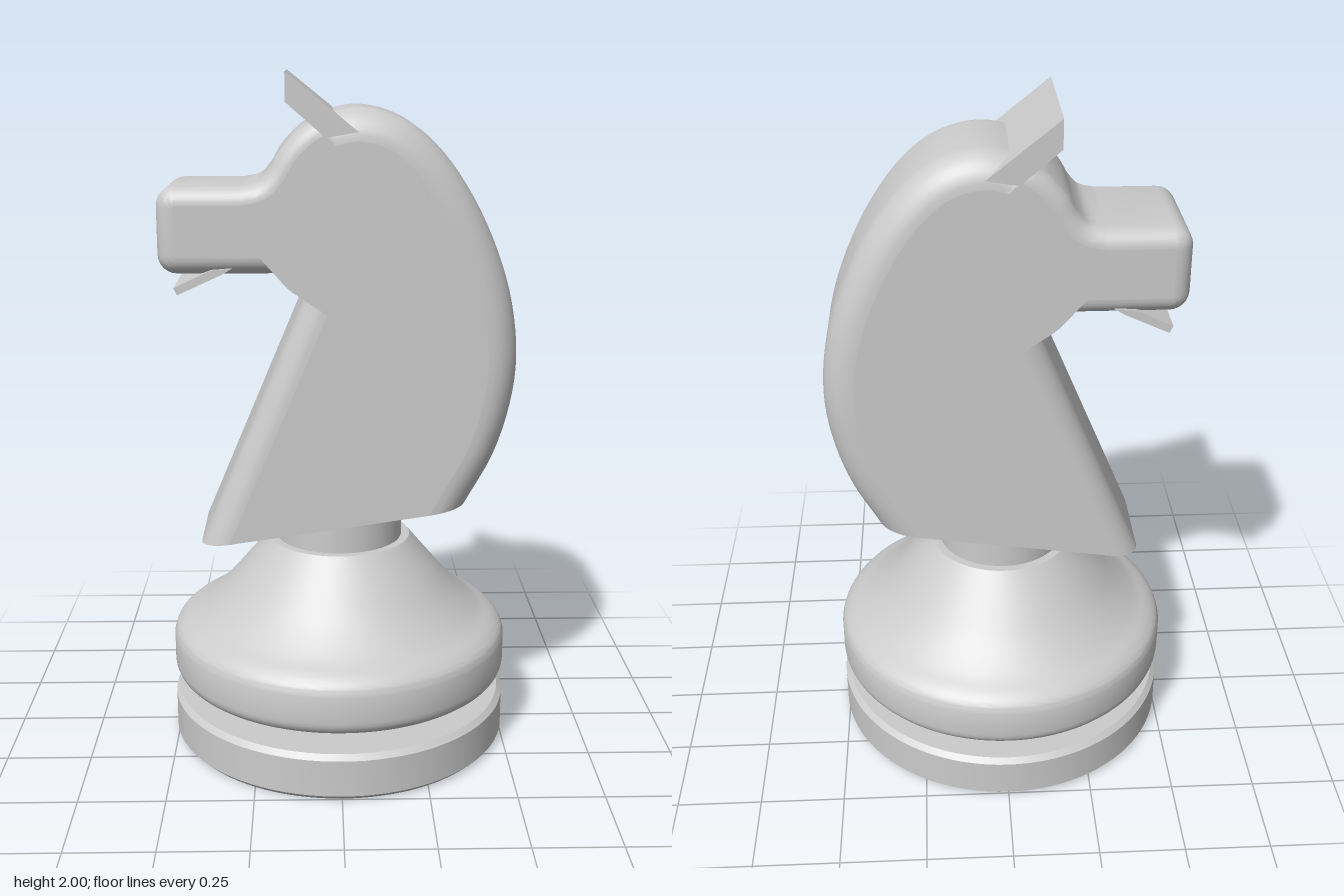
import * as THREE from 'three';
import { toCreasedNormals, mergeGeometries } from 'three/addons/utils/BufferGeometryUtils.js';

const HALF = 0.2; // half thickness of the head
const grey = new THREE.MeshStandardMaterial({ color: 0xcccccc });

function addMesh(group, name, geometry) {
  const mesh = new THREE.Mesh(geometry, grey);
  mesh.name = name;
  group.add(mesh);
  return mesh;
}

// Smooth run of points through a few controls
function spline(points, count) {
  const curve = new THREE.CatmullRomCurve3(points.map(([x, y]) => new THREE.Vector3(x, y, 0)));
  return curve.getPoints(count).map(p => [p.x, p.y]);
}

// Rounded corner as a short arc
function arc(cx, cy, r, from, to, n = 6) {
  return Array.from({ length: n + 1 }, (_, i) => {
    const a = THREE.MathUtils.degToRad(from + (to - from) * i / n);
    return [cx + r * Math.cos(a), cy + r * Math.sin(a)];
  });
}

// Thick slab from a counterclockwise outline; every outline edge has its own fillet radius
function filletedSlab(outline, steps = 8) {
  const n = outline.length;
  const normals = outline.map(({ p }, i) => {
    const q = outline[(i + 1) % n].p;
    return new THREE.Vector2(p[1] - q[1], q[0] - p[0]).normalize();
  });
  const ringAt = (angle, side) => outline.map(({ p, r }, i) => {
    const k = (i + n - 1) % n, a = normals[k], b = normals[i];
    const f = 1 - Math.cos(angle);
    const da = outline[k].r * f, db = r * f;
    const det = a.x * b.y - a.y * b.x;
    let dx, dy;
    if (Math.abs(det) > 0.3) {
      dx = (da * b.y - db * a.y) / det;
      dy = (a.x * db - b.x * da) / det;
    } else {
      const m = a.clone().add(b).normalize().multiplyScalar((da + db) / 2);
      dx = m.x;
      dy = m.y;
    }
    const z = HALF - Math.max(outline[k].r, r) * (1 - Math.sin(angle));
    return [p[0] + dx, p[1] + dy, side * z];
  });
  const rings = [];
  for (let i = steps; i >= 0; i--) rings.push(ringAt(i / steps * Math.PI / 2, -1));
  for (let i = 0; i <= steps; i++) rings.push(ringAt(i / steps * Math.PI / 2, 1));

  const build = (positions, index) => {
    const g = new THREE.BufferGeometry();
    g.setAttribute('position', new THREE.Float32BufferAttribute(positions, 3));
    g.setIndex(index);
    return g;
  };
  const index = [];
  for (let i = 0; i < rings.length - 1; i++) {
    for (let j = 0; j < n; j++) {
      const a = i * n + j, b = i * n + (j + 1) % n;
      index.push(a, b, b + n, a, b + n, a + n);
    }
  }
  const wall = toCreasedNormals(build(rings.flat(2), index), 0.6);

  // Flat side faces
  const caps = [rings[0], rings[rings.length - 1]].map((ring, side) => {
    const faces = THREE.ShapeUtils.triangulateShape(ring.map(p => new THREE.Vector2(p[0], p[1])), []);
    const order = faces.flatMap(([a, b, c]) => side ? [a, b, c] : [a, c, b]);
    const g = build(ring.flat(), order).toNonIndexed();
    g.computeVertexNormals();
    return g;
  });
  return mergeGeometries([wall, ...caps]);
}

function headOutline() {
  const out = [];
  const run = (points, r) => points.forEach(p => out.push({ p, r }));
  // Underside and back of the neck
  run([[-0.41, 0.645]], 0);
  run(spline([[0.37, 0.76], [0.45, 0.91], [0.495, 1.06], [0.51, 1.2], [0.492, 1.36], [0.45, 1.5],
    [0.38, 1.65], [0.29, 1.78], [0.2, 1.86], [0.12, 1.895], [0.04, 1.905], [-0.04, 1.89]], 44), 0.09);
  // Forehead and muzzle
  run(spline([[-0.06, 1.882], [-0.12, 1.84], [-0.17, 1.785], [-0.2, 1.735], [-0.23, 1.705], [-0.28, 1.693]], 20), 0.05);
  run(arc(-0.455, 1.638, 0.055, 90, 180), 0.05);
  run(arc(-0.455, 1.505, 0.055, 180, 270), 0.05);
  // Jaw, then front of the neck
  run(spline([[-0.18, 1.45], [-0.145, 1.412], [-0.1, 1.38]], 6).slice(0, -1), 0);
  run([[-0.1, 1.38]], 0.075);
  return out;
}

// Straight plate across the head from a side profile
function plate(points, half) {
  const shape = new THREE.Shape(points.map(p => new THREE.Vector2(...p)));
  return new THREE.ExtrudeGeometry(shape, { depth: half * 2, bevelEnabled: false }).translate(0, 0, -half);
}

function turned(points) {
  const g = new THREE.LatheGeometry(points.map(p => new THREE.Vector2(...p)), 96);
  return toCreasedNormals(g, 0.5);
}

export function createModel() {
  const model = new THREE.Group();
  model.name = 'chessKnight';

  // Turned base
  addMesh(model, 'baseDisc', turned([[0, 0], [0.495, 0], [0.51, 0.015], [0.51, 0.125], [0.495, 0.14], [0, 0.14]]));
  addMesh(model, 'baseGroove', new THREE.CylinderGeometry(0.375, 0.375, 0.08, 96).translate(0, 0.165, 0));
  const lower = arc(0.465, 0.24, 0.045, -90, 0);
  const upper = spline([[0.51, 0.32], [0.502, 0.343], [0.48, 0.365], [0.43, 0.395], [0.36, 0.455],
    [0.29, 0.535], [0.215, 0.625]], 24);
  addMesh(model, 'baseBody', turned([[0, 0.195], ...lower, ...upper, [0, 0.625]]));
  addMesh(model, 'collar', new THREE.CylinderGeometry(0.19, 0.19, 0.14, 96).translate(0, 0.685, 0));

  // Head with ear and lower lip
  addMesh(model, 'head', filletedSlab(headOutline()));
  addMesh(model, 'ear', plate([[-0.15, 1.92], [-0.04, 1.825], [0.05, 1.84], [-0.15, 2]], HALF + 0.001));
  addMesh(model, 'lowerLip', plate([[-0.455, 1.395], [-0.33, 1.452], [-0.3, 1.47], [-0.36, 1.465], [-0.465, 1.415]], HALF - 0.005));

  return model;
}
